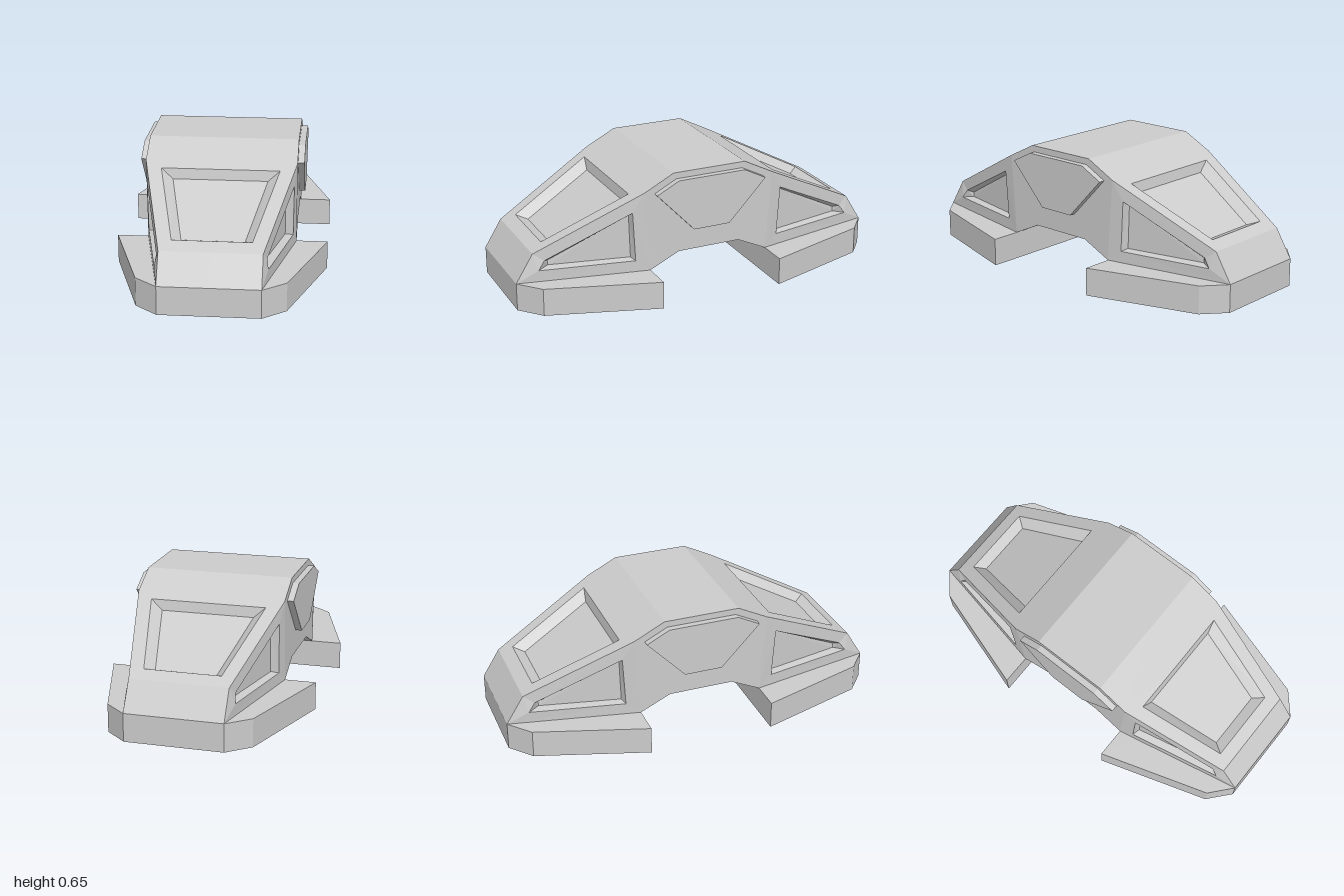
import * as THREE from 'three';

const material = new THREE.MeshStandardMaterial({ color: 0xcccccc, flatShading: true });

// Height of the sloping hood at depth z
const hoodY = (z) => 0.65 - ((z - 0.2) * 0.36) / 0.71;

// Band of quads between two loops with the same number of corners
function ring(outer, inner, start = 0) {
  const quads = [];
  for (let i = start; i < outer.length; i++) {
    const j = (i + 1) % outer.length;
    quads.push([outer[i], outer[j], inner[j], inner[i]]);
  }
  return quads;
}

// Mesh from polygons of the +x +z quarter, reflected by the given signs
function polygonMesh(name, polygons, reflections) {
  const positions = [];
  for (const [sx, sz] of reflections) {
    for (const polygon of polygons) {
      for (let i = 1; i < polygon.length - 1; i++) {
        const triangle = [polygon[0], polygon[i], polygon[i + 1]];
        if (sx * sz < 0) triangle.reverse();
        for (const [x, y, z] of triangle) positions.push(x * sx, y, z * sz);
      }
    }
  }
  const geometry = new THREE.BufferGeometry();
  geometry.setAttribute('position', new THREE.Float32BufferAttribute(positions, 3));
  geometry.computeVertexNormals();
  const mesh = new THREE.Mesh(geometry, material);
  mesh.name = name;
  return mesh;
}

// Flat outline given thickness
function plate(name, points, depth) {
  const shape = new THREE.Shape(points.map(([x, y]) => new THREE.Vector2(x, y)));
  const geometry = new THREE.ExtrudeGeometry(shape, { depth, bevelEnabled: false });
  const mesh = new THREE.Mesh(geometry, material);
  mesh.name = name;
  return mesh;
}

export function createModel() {
  const model = new THREE.Group();
  model.name = 'archedVehicleBody';

  // Main corners of one quarter of the body
  const W = 0.385;
  const noseLow = [0.25, 0.145, 1];
  const noseTop = [0.25, 0.29, 0.91];
  const shoulder = [W, hoodY(0.36), 0.36];
  const heel = [W, 0.145, 0.33];
  const mid = ([, y, z]) => [0, y, z];

  // Recess openings and their floors
  const hoodHole = [
    [0, hoodY(0.41), 0.41], [0, hoodY(0.845), 0.845],
    [0.195, hoodY(0.845), 0.845], [0.3, hoodY(0.41), 0.41],
  ];
  const hoodFloor = [
    [0, hoodY(0.42) - 0.048, 0.42], [0, hoodY(0.79) - 0.048, 0.79],
    [0.155, hoodY(0.79) - 0.048, 0.79], [0.24, hoodY(0.42) - 0.048, 0.42],
  ];
  const sideHole = [[0.373, 0.468, 0.42], [0.267, 0.25, 0.855], [0.274, 0.205, 0.888], [0.37, 0.205, 0.405]];
  const sideFloor = [[0.33, 0.45, 0.425], [0.24, 0.238, 0.83], [0.242, 0.213, 0.83], [0.33, 0.213, 0.417]];

  // Shell: roof, hood, nose, flanks and arched underside
  const shell = [
    [[0, 0.65, 0], [0, 0.65, 0.2], [W, 0.65, 0.2], [W, 0.65, 0]],
    [[0, 0.65, 0.2], mid(shoulder), shoulder, [W, 0.65, 0.2]],
    ...ring([mid(shoulder), mid(noseTop), noseTop, shoulder], hoodHole, 1),
    [mid(noseTop), mid(noseLow), noseLow, noseTop],
    [[W, 0.65, 0], [W, 0.65, 0.2], shoulder, heel, [W, 0.22, 0.17], [W, 0.22, 0]],
    ...ring([shoulder, noseTop, noseLow, heel], sideHole),
    [[0, 0.22, 0], [W, 0.22, 0], [W, 0.22, 0.17], [0, 0.22, 0.17]],
    [[0, 0.22, 0.17], [W, 0.22, 0.17], heel, mid(heel)],
  ];
  model.add(polygonMesh('bodyShell', shell, [[1, 1], [-1, 1], [1, -1], [-1, -1]]));

  const footOutline = [[-0.545, -0.33], [-0.365, -0.9], [-0.25, -1], [0.25, -1], [0.365, -0.9], [0.545, -0.33]];
  for (const [end, sz] of [['front', 1], ['rear', -1]]) {
    // Sunken hood panel
    model.add(polygonMesh(`${end}HoodRecess`, [...ring(hoodHole, hoodFloor, 1), hoodFloor], [[1, sz], [-1, sz]]));

    // Sunken flank panels
    for (const [side, sx] of [['Left', 1], ['Right', -1]]) {
      model.add(polygonMesh(`${end}${side}SideRecess`, [...ring(sideHole, sideFloor), sideFloor], [[sx, sz]]));
    }

    // Wide foot slab
    const foot = plate('slab', footOutline, 0.145);
    foot.rotation.x = -Math.PI / 2;
    const pivot = new THREE.Group();
    pivot.name = `${end}Foot`;
    pivot.rotation.y = sz > 0 ? 0 : Math.PI;
    pivot.add(foot);
    model.add(pivot);
  }

  // Raised plates on the middle of each flank
  const plateOutline = [[-0.1, 0.34], [0.1, 0.34], [0.305, 0.556], [0.185, 0.617], [-0.185, 0.617], [-0.305, 0.556]];
  for (const [side, x] of [['left', 0.375], ['right', -0.418]]) {
    const panel = plate(`${side}SidePlate`, plateOutline, 0.043);
    panel.rotation.y = Math.PI / 2;
    panel.position.x = x;
    model.add(panel);
  }
  return model;
}
